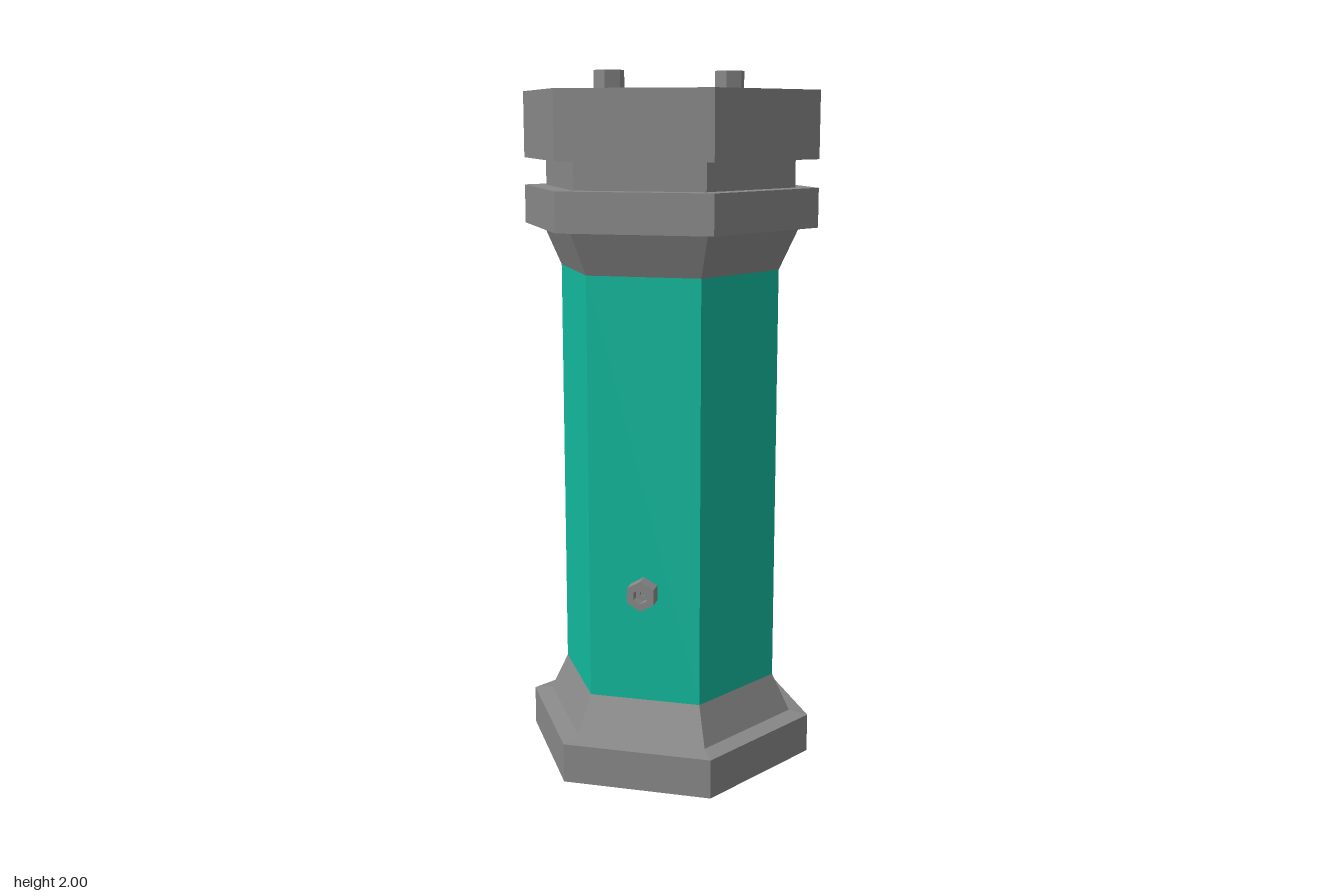
import * as THREE from 'three';

// Six-sided, flat-faced solid of revolution from a bottom-to-top profile of [radius, y]
function hexLathe(profile, phiStart) {
  const points = profile.map(([r, y]) => new THREE.Vector2(r, y));
  const geometry = new THREE.LatheGeometry(points, 6, phiStart).toNonIndexed();
  geometry.computeVertexNormals();
  return geometry;
}

export function createModel() {
  const group = new THREE.Group();
  const metal = new THREE.MeshStandardMaterial({ color: 0x888888 });
  metal.name = 'grey metal';
  const teal = new THREE.MeshStandardMaterial({ color: 0x11b89d });
  teal.name = 'teal body';

  const add = (name, profile, material, phiStart = Math.PI / 2) => {
    const mesh = new THREE.Mesh(hexLathe(profile, phiStart), material);
    mesh.name = name;
    group.add(mesh);
    return mesh;
  };

  // Foot with a narrow ledge and a taper up to the body
  add('base', [[0, 0], [0.431, 0], [0.431, 0.115], [0.375, 0.125], [0.322, 0.235], [0, 0.235]], metal);

  // Teal hexagonal tube
  add('body', [[0.322, 0.235], [0.322, 1.45]], teal);

  // Flared collar, ring, recessed neck and cap
  add('head', [
    [0, 1.45], [0.322, 1.45], [0.378, 1.57], [0.431, 1.57], [0.431, 1.68],
    [0.365, 1.68], [0.365, 1.758], [0.431, 1.758], [0.431, 1.945], [0, 1.945],
  ], metal);

  // Two terminals on the cap
  for (const [x, z] of [[-0.154, 0.064], [0.156, -0.096]]) {
    add('terminal', [[0.044, 0], [0.044, 0.057], [0, 0.057]], metal, 0).position.set(x, 1.943, z);
  }

  // Hollow hexagonal nozzle on the front face
  const nozzle = add('nozzle', [
    [0.044, 0], [0.044, 0.045], [0.022, 0.045], [0.022, 0.02], [0.008, 0.02], [0.008, 0.012], [0, 0.012],
  ], metal, 0);
  nozzle.rotation.x = Math.PI / 2;
  nozzle.position.set(0, 0.56, 0.278);

  return group;
}
